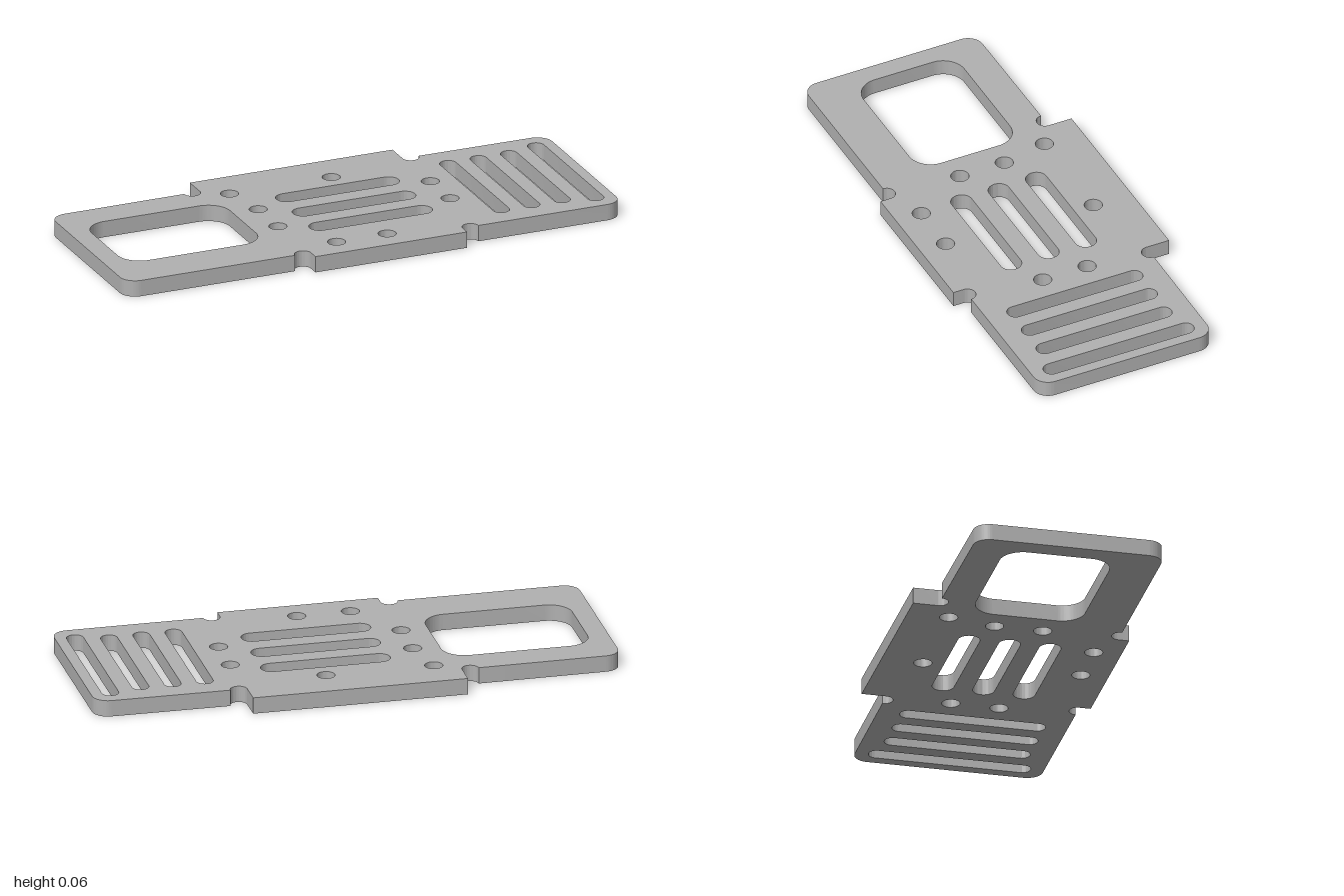
import * as THREE from 'three';
import { toCreasedNormals } from 'three/addons/utils/BufferGeometryUtils.js';

const THICKNESS = 0.063;
const BACK = -0.33, FRONT = 0.385;
const CORNER = 0.06, NOTCH = 0.032;

// Rounded rectangle hole; a radius of half the width gives a slot
function roundedHole(x0, x1, z0, z1, r) {
  const p = new THREE.Path();
  p.moveTo(x0 + r, z0);
  p.absarc(x1 - r, z0 + r, r, -Math.PI / 2, 0, false);
  p.absarc(x1 - r, z1 - r, r, 0, Math.PI / 2, false);
  p.absarc(x0 + r, z1 - r, r, Math.PI / 2, Math.PI, false);
  p.absarc(x0 + r, z0 + r, r, Math.PI, Math.PI * 1.5, false);
  return p;
}

function roundHole(x, z, r) {
  const p = new THREE.Path();
  p.absarc(x, z, r, 0, Math.PI * 2, false);
  return p;
}

// Outline in plan (x, z): rounded ends, a tab on each long edge, relief notches beside the tabs
function plateOutline() {
  const s = new THREE.Shape();
  const r = CORNER;
  s.moveTo(-1 + r, BACK);
  s.absarc(-0.424, BACK - 0.003, NOTCH, Math.PI, 0, true);
  s.lineTo(-0.392, -0.427);
  s.lineTo(0.425, -0.427);
  s.absarc(0.457, BACK - 0.003, NOTCH, Math.PI, 0, true);
  s.absarc(1 - r, BACK + r, r, -Math.PI / 2, 0, false);
  s.absarc(1 - r, FRONT - r, r, 0, Math.PI / 2, false);
  s.absarc(0.387, FRONT, NOTCH, 0, -Math.PI, true);
  s.lineTo(0.355, 0.427);
  s.lineTo(-0.256, 0.427);
  s.absarc(-0.288, FRONT, NOTCH, 0, -Math.PI, true);
  s.absarc(-1 + r, FRONT - r, r, Math.PI / 2, Math.PI, false);
  s.absarc(-1 + r, BACK + r, r, Math.PI, Math.PI * 1.5, false);
  return s;
}

export function createModel() {
  const metal = new THREE.MeshStandardMaterial({ color: 0xb0b0b0 });
  metal.name = 'grey metal';

  const shape = plateOutline();

  // Large window
  shape.holes.push(roundedHole(-0.922, -0.365, -0.203, 0.212, 0.088));

  // Three lengthwise slots
  for (const z of [-0.15, 0.004, 0.158]) {
    shape.holes.push(roundedHole(-0.163, 0.329, z - 0.041, z + 0.041, 0.0409));
  }

  // Four crosswise slots, the outermost longer
  [0.559, 0.681, 0.804, 0.926].forEach((x, i) => {
    const half = i === 3 ? 0.308 : 0.277;
    shape.holes.push(roundedHole(x - 0.032, x + 0.032, 0.027 - half, 0.027 + half, 0.0319));
  });

  // Screw holes
  const screws = [
    [-0.3, -0.27], [0.11, -0.27], [-0.264, -0.087], [0.43, -0.087],
    [-0.264, 0.096], [0.43, 0.096], [-0.126, 0.323], [0.078, 0.323],
  ];
  for (const [x, z] of screws) shape.holes.push(roundHole(x, z, 0.034));

  const extruded = new THREE.ExtrudeGeometry(shape, {
    depth: THICKNESS, bevelEnabled: false, curveSegments: 16,
  });
  extruded.rotateX(Math.PI / 2).translate(0, THICKNESS, 0);

  const plate = new THREE.Mesh(toCreasedNormals(extruded, Math.PI / 6), metal);
  plate.name = 'mountingPlate';

  const group = new THREE.Group();
  group.name = 'slottedMountingPlate';
  group.add(plate);
  return group;
}
